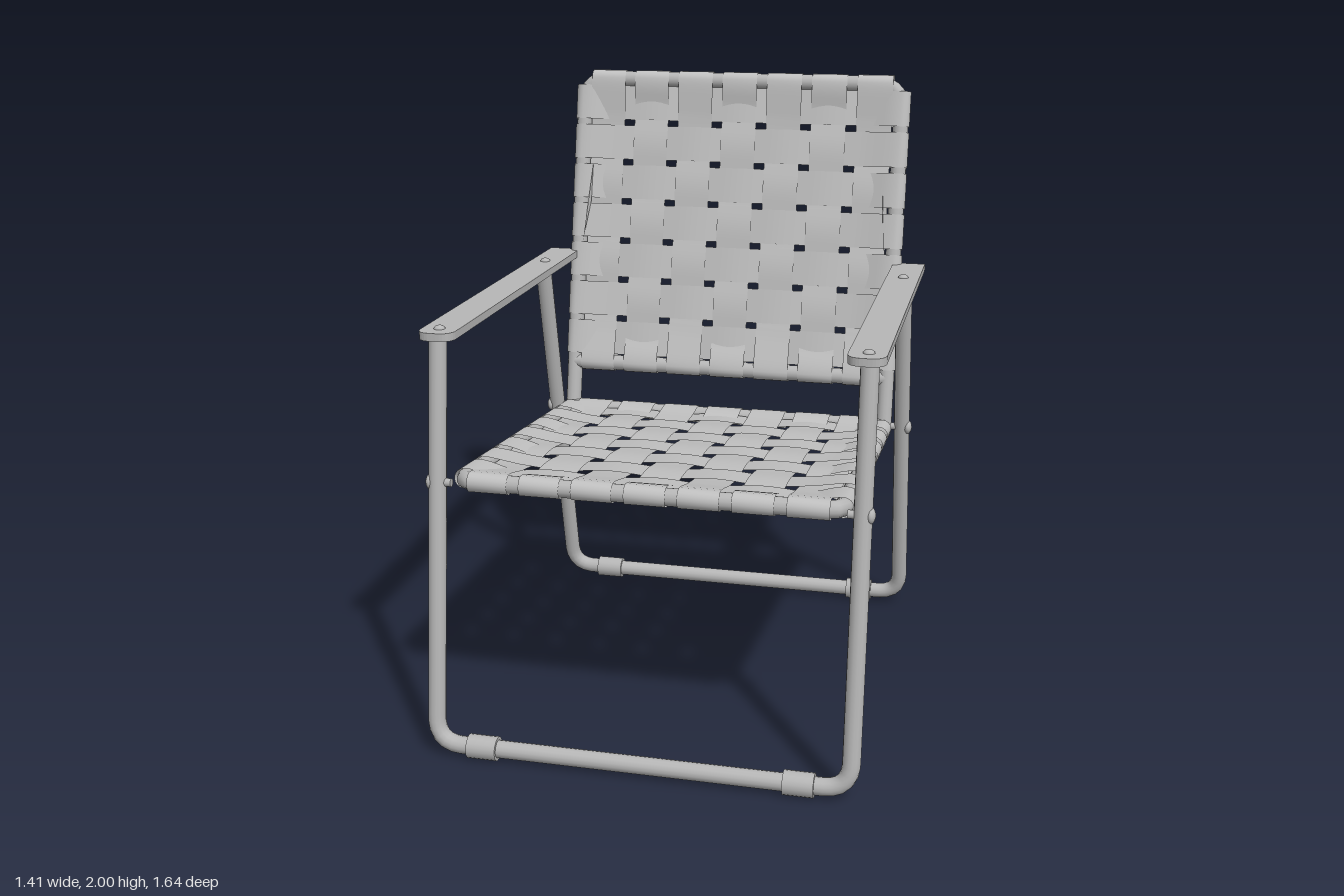
import * as THREE from 'three';

const metal = new THREE.MeshStandardMaterial({ color: 0xb6b6b6, side: THREE.DoubleSide });
metal.name = 'frameGrey';
const webbing = new THREE.MeshStandardMaterial({ color: 0xc0c0c0, side: THREE.DoubleSide });
webbing.name = 'webbingGrey';

const TUBE = 0.028;      // tube radius
const RAIL_X = 0.59;     // seat and back side rails
const LEG_X = 0.655;     // leg tubes
const PITCH_X = 0.165;   // spacing of the lengthwise straps

function add(parent, name, geometry, material = metal) {
  const mesh = new THREE.Mesh(geometry, material);
  mesh.name = name;
  parent.add(mesh);
  return mesh;
}

// Tube along straight runs with rounded corners
function bentTube(points, bend, closed = false) {
  const pts = points.map((p) => new THREE.Vector3(...p));
  const n = pts.length;
  const path = new THREE.CurvePath();
  const toward = (a, b) => a.clone().add(b.clone().sub(a).setLength(bend));
  let start = closed ? toward(pts[0], pts[1]) : pts[0];
  for (let i = 1; i < (closed ? n + 1 : n - 1); i++) {
    const corner = pts[i % n];
    const before = toward(corner, pts[i - 1]);
    const after = toward(corner, pts[(i + 1) % n]);
    path.add(new THREE.LineCurve3(start, before));
    path.add(new THREE.QuadraticBezierCurve3(before, corner, after));
    start = after;
  }
  if (!closed) path.add(new THREE.LineCurve3(start, pts[n - 1]));
  return new THREE.TubeGeometry(path, 160, TUBE, 14, closed);
}

// Strap woven between two rails at u = a and b, hooked round both of them
function strapGeometry(a, b, width, first, pitch, parity, alongX) {
  const R = TUBE + 0.004;
  const path = [];
  const hook = (rail, dir) => {
    const pts = [[rail + dir * 0.085, -0.004], [rail + dir * 0.035, -R * 0.75]];
    for (let i = 0; i <= 8; i++) {
      const t = -Math.PI / 2 - (i / 8) * Math.PI;
      pts.push([rail + dir * R * Math.cos(t), R * Math.sin(t)]);
    }
    return pts;
  };
  path.push(...hook(a, 1));
  const steps = 56;
  for (let i = 1; i < steps; i++) {
    const u = a + ((b - a) * i) / steps;
    const edge = THREE.MathUtils.smoothstep(Math.min(u - a, b - u), 0, 0.14);
    const wave = 0.01 + 0.005 * parity * Math.cos((Math.PI * (u - first)) / pitch);
    path.push([u, R + (wave - R) * edge]);
  }
  path.push(...hook(b, -1).reverse());
  const g = new THREE.PlaneGeometry(1, 1, 1, path.length - 1);
  const pos = g.attributes.position;
  for (let i = 0; i < pos.count; i++) {
    const [u, h] = path[Math.floor(i / 2)];
    const v = (i % 2 ? 0.5 : -0.5) * width;
    if (alongX) pos.setXYZ(i, u, -v, h);
    else pos.setXYZ(i, v, u, h);
  }
  // turn the faces so the normals point away from the rails
  const index = g.index.array;
  for (let i = 0; i < index.length; i += 3) [index[i + 1], index[i + 2]] = [index[i + 2], index[i + 1]];
  g.computeVertexNormals();
  return g;
}

// Seven by seven basket weave in a panel's own xy plane
function weave(parent, low, high, firstCross, pitch, crossWidth) {
  for (let i = 0; i < 7; i++) {
    const parity = i % 2 ? -1 : 1;
    const x = (i - 3) * PITCH_X;
    add(parent, 'lengthwiseStrap', strapGeometry(low, high, 0.128, firstCross, pitch, parity, false), webbing)
      .position.x = x;
    add(parent, 'crossStrap',
      strapGeometry(-RAIL_X, RAIL_X, crossWidth, -3 * PITCH_X, PITCH_X, -parity, true), webbing)
      .position.y = firstCross + i * pitch;
  }
}

// Panel whose local y runs from one (y, z) point toward another
function panel(name, from, to) {
  const group = new THREE.Group();
  group.name = name;
  group.position.set(0, from[0], from[1]);
  group.rotation.x = Math.atan2(to[1] - from[1], to[0] - from[0]);
  return group;
}

function barX(length, radius) {
  return new THREE.CylinderGeometry(radius, radius, length, 18).rotateZ(Math.PI / 2);
}

// U-shaped leg with two sleeves on its floor bar
function legs(name, topY, topZ, footZ) {
  const group = new THREE.Group();
  group.name = name;
  const y = 0.04;
  add(group, 'legTube', bentTube([
    [-LEG_X, topY, topZ], [-LEG_X, y, footZ], [LEG_X, y, footZ], [LEG_X, topY, topZ],
  ], 0.085));
  for (const s of [-1, 1]) add(group, 'footSleeve', barX(0.095, 0.038)).position.set(s * 0.5, y, footZ);
  return group;
}

function armrest(side) {
  const group = new THREE.Group();
  group.name = side > 0 ? 'leftArmrest' : 'rightArmrest';
  // flat board with a rounded front end, drawn as (x, -z)
  const w = 0.057, r = 0.05, front = -0.68, back = 0.665;
  const shape = new THREE.Shape();
  shape.moveTo(-w, back);
  shape.lineTo(-w, front + r);
  shape.quadraticCurveTo(-w, front, -w + r, front);
  shape.lineTo(w - r, front);
  shape.quadraticCurveTo(w, front, w, front + r);
  shape.lineTo(w, back);
  shape.closePath();
  const board = new THREE.ExtrudeGeometry(shape, { depth: 0.025, bevelEnabled: false, curveSegments: 8 });
  add(group, 'armBoard', board.rotateX(-Math.PI / 2)).position.set(side * 0.648, 1.32, 0);
  for (const z of [0.617, -0.418]) {
    const rivet = new THREE.SphereGeometry(0.018, 14, 6, 0, Math.PI * 2, 0, Math.PI / 2);
    const dome = add(group, 'armRivet', rivet);
    dome.scale.y = 0.7;
    dome.position.set(side * 0.65, 1.344, z);
  }
  return group;
}

export function createModel() {
  const model = new THREE.Group();
  model.name = 'lawnChair';

  model.add(legs('frontLegs', 1.325, 0.62, 0.785));
  model.add(legs('rearLegs', 1.325, -0.41, -0.705));

  // Seat, local y running from the front rail to the rear rail
  const seat = panel('seat', [0.875, 0.655], [0.765, -0.53]);
  const L = 1.19;
  add(seat, 'seatFrame', bentTube([
    [-RAIL_X, 0, 0], [RAIL_X, 0, 0], [RAIL_X, L, 0], [-RAIL_X, L, 0],
  ], 0.06, true));
  weave(seat, 0, L, 0.095, 0.165, 0.128);
  model.add(seat);

  // Back, local y running up from the rear pivot
  const back = panel('backrest', [0.77, -0.535], [1.97, -0.79]);
  const top = 1.227, low = 0.168;
  add(back, 'backFrame', bentTube([
    [-RAIL_X, -0.02, 0], [-RAIL_X, top, 0], [RAIL_X, top, 0], [RAIL_X, -0.02, 0],
  ], 0.095));
  add(back, 'lowerBackRail', barX(2 * RAIL_X, TUBE)).position.y = low;
  weave(back, low, top, 0.262, 0.146, 0.125);
  model.add(back);

  for (const side of [-1, 1]) {
    model.add(armrest(side));

    // Pivot bolts joining seat, back and legs, with domed heads
    for (const [y, z] of [[0.875, 0.678], [0.767, -0.534]]) {
      add(model, 'pivotBolt', barX(0.07, 0.013)).position.set(side * 0.645, y, z);
      const head = add(model, 'boltHead', new THREE.SphereGeometry(0.025, 14, 10));
      head.scale.x = 0.6;
      head.position.set(side * 0.677, y, z);
    }

    // Narrow fold of webbing standing off the front of the back
    const fold = new THREE.BufferGeometry().setFromPoints([
      new THREE.Vector3(side * 0.54, 1.67, -0.69),
      new THREE.Vector3(side * 0.56, 1.39, -0.6),
      new THREE.Vector3(side * 0.545, 1.53, -0.67),
    ]);
    fold.computeVertexNormals();
    add(model, 'webbingFold', fold, webbing);
  }
  return model;
}
